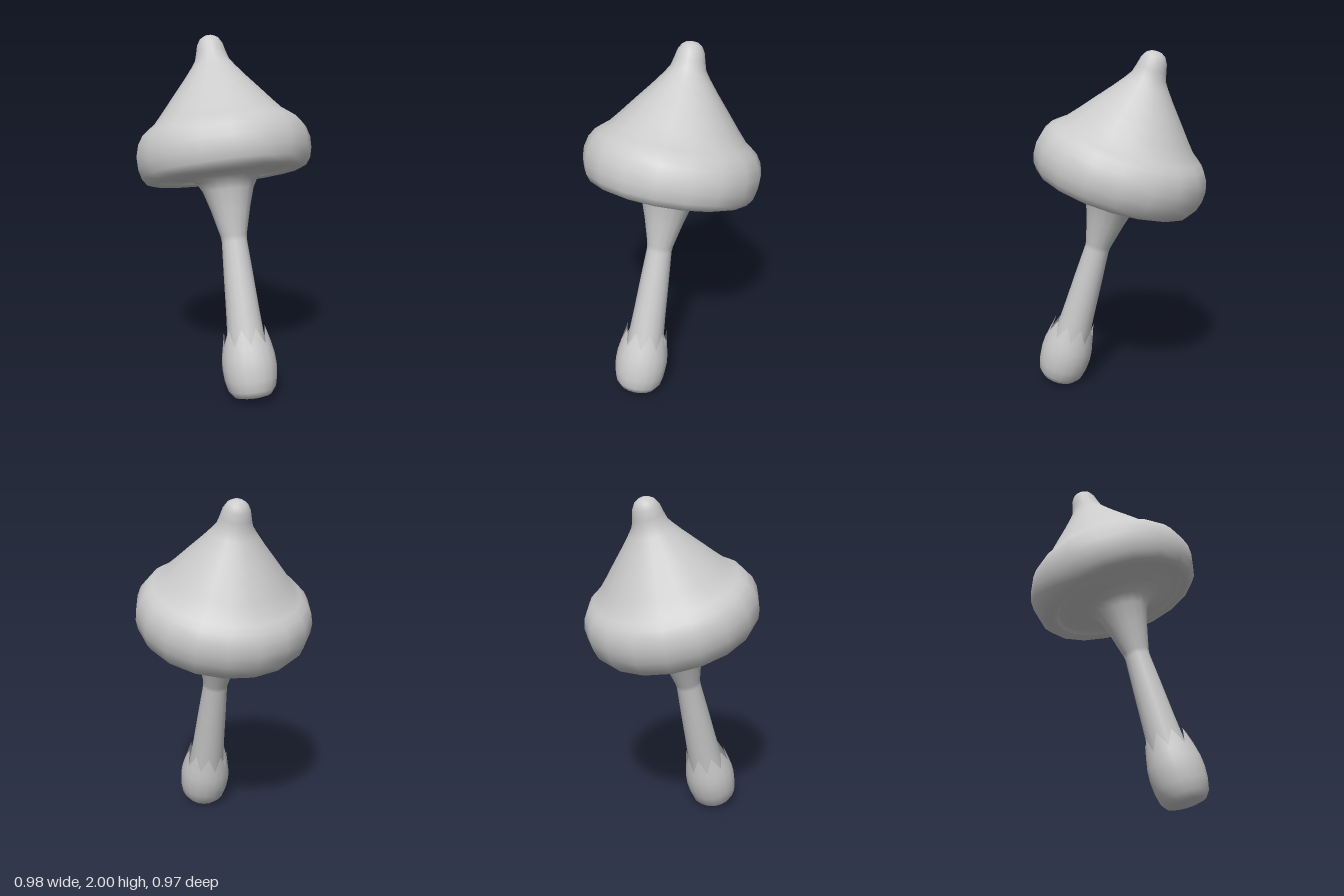
import * as THREE from 'three';

const material = new THREE.MeshStandardMaterial({ color: 0xcccccc, side: THREE.DoubleSide });

// Revolves [radius, height] pairs, listed so the outside faces outward
function lathe(name, profile, sides) {
  const points = profile.map(([r, h]) => new THREE.Vector2(r, h));
  const mesh = new THREE.Mesh(new THREE.LatheGeometry(points, sides), material);
  mesh.name = name;
  return mesh;
}

export function createModel() {
  const model = new THREE.Group();
  model.name = 'mushroom';

  // Everything shares one leaning axis
  const body = new THREE.Group();
  body.name = 'leaningBody';
  const axis = new THREE.Vector3(0.117, 1, -0.261).normalize();
  body.quaternion.setFromUnitVectors(new THREE.Vector3(0, 1, 0), axis);
  body.position.set(-0.163, 0, 0.362);
  model.add(body);

  // Stem: tapers upward, then flares out and flattens against the cap
  const stem = lathe('stem', [
    [0.118, 0.15], [0.106, 0.34], [0.095, 0.5], [0.083, 0.72], [0.072, 0.9],
    [0.075, 0.93], [0.112, 1.08], [0.145, 1.19], [0.172, 1.24], [0.215, 1.262], [0.26, 1.28],
  ], 16);
  stem.position.set(0.005, 0, -0.006);
  body.add(stem);

  // Bulb at the foot, its torn upper edge cut into teeth
  const teeth = 9;
  const bulbProfile = [
    [0, 0.018], [0.07, 0.02], [0.108, 0.03], [0.135, 0.065], [0.149, 0.125],
    [0.154, 0.19], [0.15, 0.25], [0.139, 0.305], [0.118, 0.41],
  ];
  const bulb = lathe('bulb', bulbProfile, teeth * 2);
  const bulbPos = bulb.geometry.attributes.position;
  const rows = bulbProfile.length;
  for (let i = 0; i <= teeth * 2; i += 2) {
    const v = i * rows + rows - 1;
    const scale = 0.136 / 0.118;
    bulbPos.setXYZ(v, bulbPos.getX(v) * scale, 0.32, bulbPos.getZ(v) * scale);
  }
  body.add(bulb);

  // Cap leans slightly further than the stem
  const cap = new THREE.Group();
  cap.name = 'cap';
  cap.position.set(-0.009, 0, 0.018);
  cap.rotation.set(-0.02, -0.04, -0.01);
  body.add(cap);

  // Nearly flat underside, sunk in a groove behind the lip
  cap.add(lathe('capUnderside', [
    [0.14, 1.262], [0.22, 1.265], [0.3, 1.28], [0.365, 1.292], [0.385, 1.272],
  ], 18));

  // Rolled rim blending into the cone and its rounded nub
  cap.add(lathe('capTop', [
    [0.385, 1.272], [0.42, 1.262], [0.455, 1.275], [0.482, 1.312], [0.497, 1.37],
    [0.498, 1.43], [0.482, 1.49], [0.452, 1.537], [0.415, 1.567], [0.378, 1.595],
    [0.33, 1.65], [0.26, 1.735], [0.18, 1.83], [0.125, 1.9], [0.098, 1.94],
    [0.085, 1.985], [0.074, 2.03], [0.055, 2.062], [0.03, 2.078], [0, 2.082],
  ], 18));

  return model;
}
